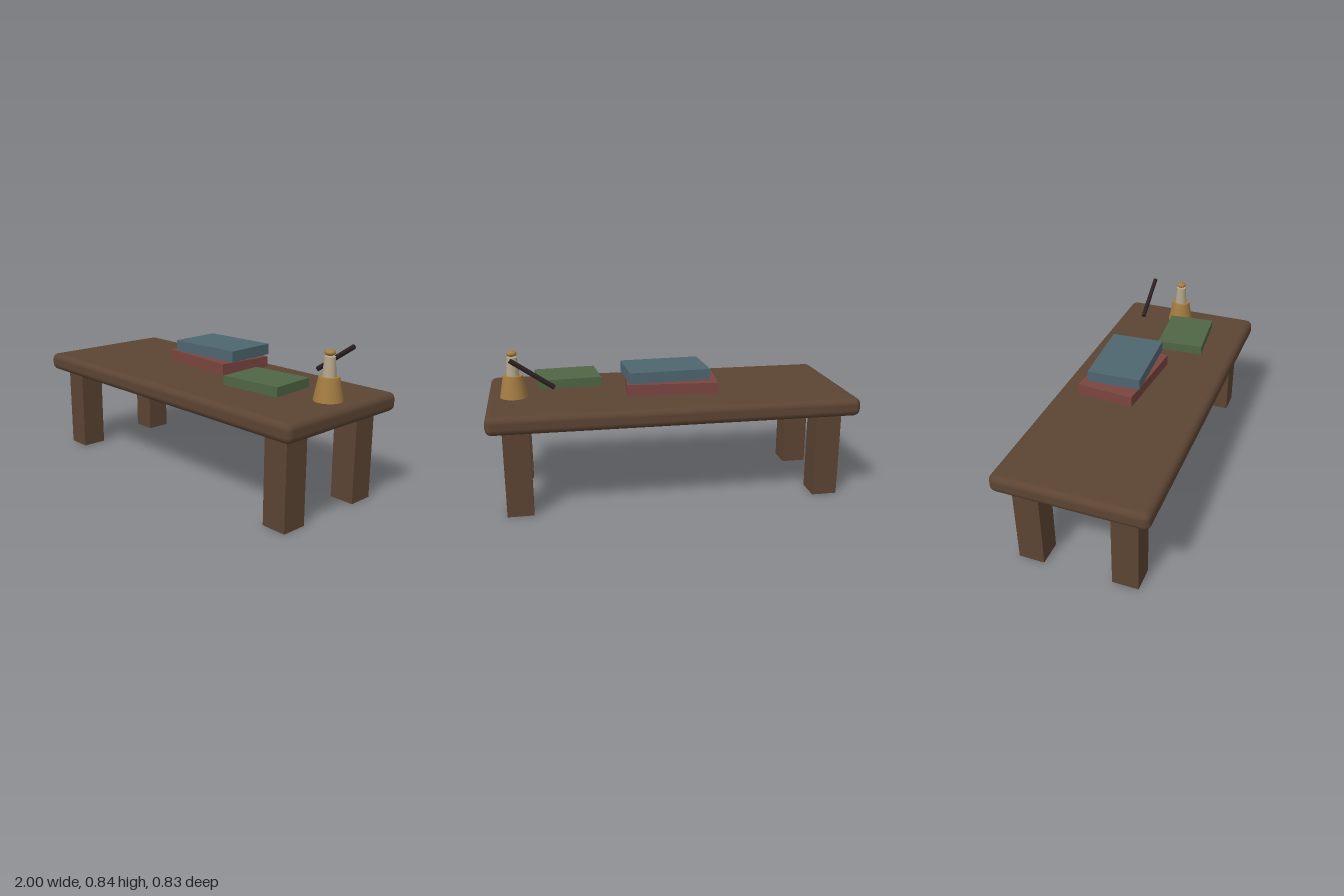
import * as THREE from 'three';
import { RoundedBoxGeometry } from 'three/addons/geometries/RoundedBoxGeometry.js';

function material(name, color) {
  const m = new THREE.MeshStandardMaterial({ color });
  m.name = name;
  return m;
}

export function createModel() {
  const group = new THREE.Group();
  const wood = material('brown wood', 0x5c4433);
  const red = material('dull red', 0x7a4540);
  const blue = material('slate blue', 0x4f6670);
  const green = material('moss green', 0x506644);
  const brass = material('brass', 0xa37c42);
  const cream = material('cream', 0xb5a68a);
  const dark = material('dark stick', 0x2c2022);

  function add(name, geometry, mat, x, y, z) {
    const mesh = new THREE.Mesh(geometry, mat);
    mesh.name = name;
    mesh.position.set(x, y, z);
    group.add(mesh);
    return mesh;
  }

  // Table top with rounded edges
  add('tableTop', new RoundedBoxGeometry(2, 0.1, 0.83, 2, 0.035), wood, 0, 0.53, 0);

  // Four square legs
  for (const sx of [-1, 1]) {
    for (const sz of [-1, 1]) {
      add('leg', new THREE.BoxGeometry(0.14, 0.48, 0.143), wood, sx * 0.85, 0.24, sz * 0.262);
    }
  }

  // Slightly turned books
  const books = [
    ['lowerBook', red, 0.49, 0.06, 0.32, 0, 0.64, -0.094, -0.08],
    ['upperBook', blue, 0.44, 0.06, 0.297, 0.032, 0.708, -0.095, 0.052],
    ['sideBook', green, 0.343, 0.05, 0.261, 0.557, 0.64, 0.094, 0.085],
  ];
  for (const [name, mat, w, h, d, x, y, z, turn] of books) {
    add(name, new THREE.BoxGeometry(w, h, d), mat, x, y, z).rotation.y = turn;
  }

  // Candle holder: tapered base, neck and flattened knob
  const cx = 0.855, cz = -0.035;
  add('holderBase', new THREE.CylinderGeometry(0.053, 0.076, 0.12, 20), brass, cx, 0.64, cz);
  add('holderNeck', new THREE.CylinderGeometry(0.028, 0.035, 0.1, 16), cream, cx, 0.75, cz);
  add('holderKnob', new THREE.SphereGeometry(0.028, 16, 10), brass, cx, 0.819, cz).scale.y = 0.58;

  // Leaning stick
  const stick = add('stick', new THREE.CylinderGeometry(0.013, 0.013, 0.27, 10), dark, 0.75, 0.747, -0.213);
  stick.rotation.z = 0.6 - Math.PI / 2;

  return group;
}
